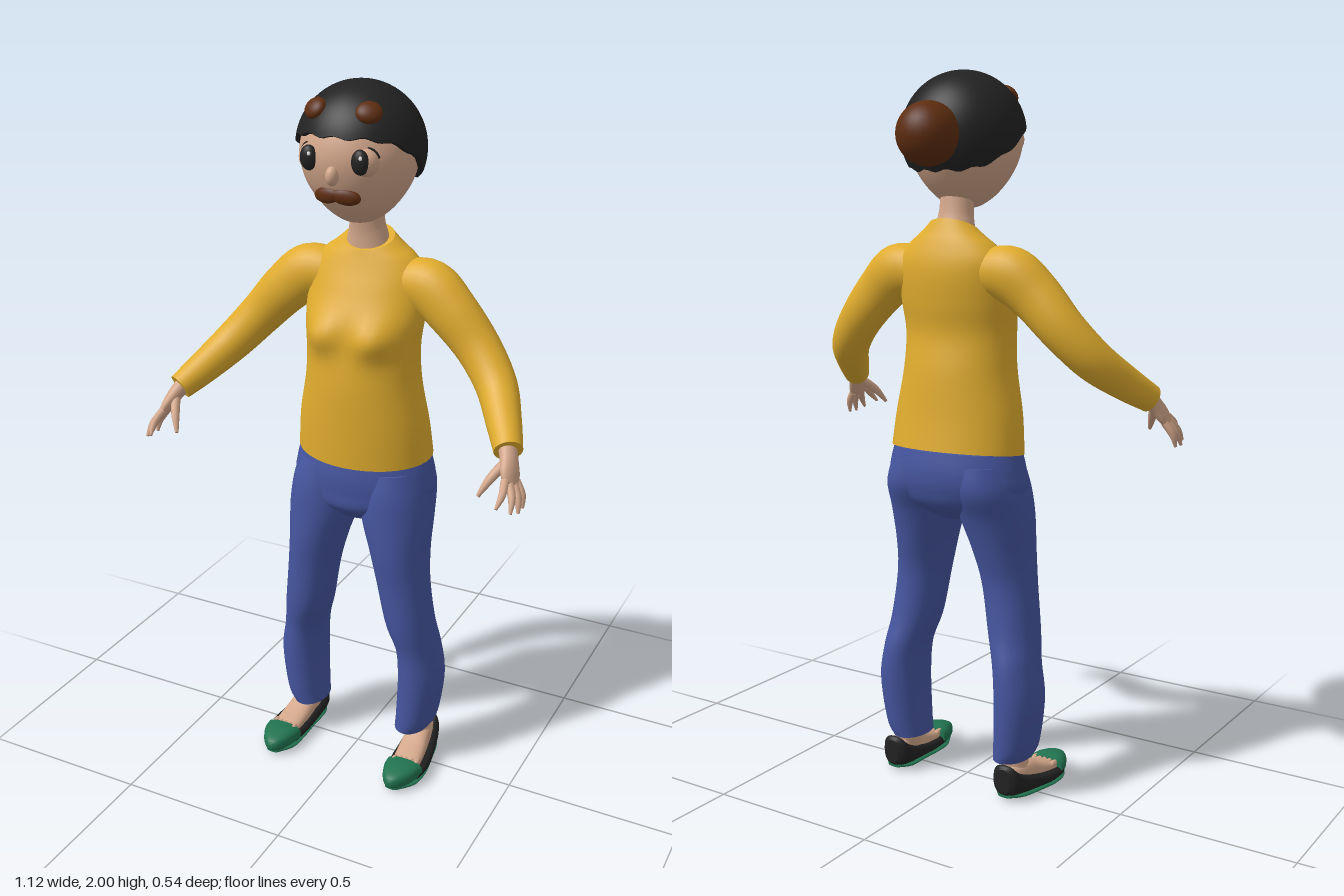
import * as THREE from 'three';

const mat = (name, color) => Object.assign(new THREE.MeshStandardMaterial({ color }), { name });
const V = (x, y, z) => new THREE.Vector3(x, y, z);

// Catmull-Rom interpolation of a short table of cross-sections
function sample(rows, n) {
  const at = i => rows[Math.max(0, Math.min(rows.length - 1, i))];
  return Array.from({ length: n + 1 }, (_, k) => {
    const u = (k / n) * (rows.length - 1), i = Math.min(rows.length - 2, Math.floor(u)), t = u - i;
    return rows[0].map((_, c) => {
      const [a, b, d, e] = [at(i - 1)[c], at(i)[c], at(i + 1)[c], at(i + 2)[c]];
      return b + 0.5 * t * (d - a + t * (2 * a - 5 * b + 4 * d - e + t * (3 * (b - d) + e - a)));
    });
  });
}

// Closed skin over rings of points, with a sharp cap at each end
function skin(rings) {
  const pos = [], idx = [], m = rings[0].length;
  rings.forEach(r => r.forEach(p => pos.push(p.x, p.y, p.z)));
  for (let i = 0; i < rings.length - 1; i++) {
    for (let j = 0; j < m; j++) {
      const k = (j + 1) % m, a = i * m + j, d = i * m + k;
      idx.push(a, a + m, d, a + m, d + m, d);
    }
  }
  [rings[0], rings[rings.length - 1]].forEach((r, end) => {
    const base = pos.length / 3, c = V(0, 0, 0);
    r.forEach(p => { pos.push(p.x, p.y, p.z); c.addScaledVector(p, 1 / m); });
    pos.push(c.x, c.y, c.z);
    for (let j = 0; j < m; j++) {
      const k = (j + 1) % m;
      idx.push(base + m, base + (end ? k : j), base + (end ? j : k));
    }
  });
  const g = new THREE.BufferGeometry();
  g.setAttribute('position', new THREE.Float32BufferAttribute(pos, 3));
  g.setIndex(idx);
  g.computeVertexNormals();
  return g;
}

const circle = (n, f) => Array.from({ length: n }, (_, j) => {
  const a = (j / n) * Math.PI * 2;
  return f(Math.cos(a), Math.sin(a), a);
});

// Upright body form: rows of [y, cx, cz, rx, rz, forward tilt]
const upright = (rows, n = 36, bump = () => 0) => skin(sample(rows, n).map(([y, cx, cz, rx, rz, tilt = 0]) =>
  circle(40, (c, s) => {
    const x = cx + rx * c;
    return V(x, y - tilt * s, cz + rz * s + (s > 0 ? bump(x, y) * Math.min(1, s * 2) : 0));
  })));

// Swept limb: rows of [x, y, z, radius along ref, radius across]
function limb(rows, ref, n = 24, sides = 20) {
  const pts = sample(rows, n), P = pts.map(p => V(p[0], p[1], p[2]));
  return skin(pts.map(([, , , r, r2], i) => {
    const t = P[Math.min(n, i + 1)].clone().sub(P[Math.max(0, i - 1)]).normalize();
    const X = ref.clone().addScaledVector(t, -ref.dot(t)).normalize();
    const Z = X.clone().cross(t);
    return circle(sides, (c, s) => P[i].clone().addScaledVector(X, r * c).addScaledVector(Z, r2 * s));
  }));
}

// Form running forward: rows of [z, cx, bottom, height, half width]
const forward = (rows, n = 20) => skin(sample(rows, n).map(([z, cx, y0, h, w]) =>
  circle(24, (c, s) => V(cx + w * Math.sign(c) * Math.abs(c) ** 0.75,
    y0 + (h / 2) * (1 - Math.sign(s) * Math.abs(s) ** 0.75), z))));

export function createModel() {
  const model = new THREE.Group();
  const yellow = mat('sweater yellow', 0xe0ac2e), blue = mat('trouser blue', 0x4656a0);
  const skinTone = mat('skin', 0xd2a68a), black = mat('black', 0x222222);
  const brown = mat('brown', 0x5e2d10), green = mat('shoe green', 0x217350), white = mat('eye glint', 0xe8e4e0);

  const add = (name, geo, material, parent = model) => {
    const mesh = new THREE.Mesh(geo, material);
    mesh.name = name;
    parent.add(mesh);
    return mesh;
  };
  const ball = (name, material, p, r, parent) => {
    const mesh = add(name, new THREE.SphereGeometry(1, 28, 20), material, parent);
    mesh.position.set(...p);
    mesh.scale.set(...r);
    return mesh;
  };

  // Sweater body, trousers seat and neck
  const bust = (x, y) => 0.034 * Math.exp(-(((Math.abs(x) - 0.08) / 0.055) ** 2) - ((y - 1.335) / 0.05) ** 2);
  add('sweater', upright([
    [0.978, 0, -0.05, 0.2, 0.14, 0.014], [1.08, 0, -0.042, 0.19, 0.134, 0], [1.2, 0, -0.036, 0.168, 0.127, 0],
    [1.3, 0, -0.034, 0.165, 0.113, 0], [1.38, 0, -0.045, 0.172, 0.111, 0], [1.45, 0, -0.063, 0.172, 0.098, 0],
    [1.5, 0, -0.073, 0.165, 0.084, 0], [1.54, 0, -0.074, 0.135, 0.07, 0.005], [1.565, 0, -0.07, 0.1, 0.06, 0.014],
    [1.585, 0, -0.065, 0.073, 0.052, 0.026]], 48, bust), yellow);
  add('trouserSeat', upright([
    [0.785, 0, -0.03, 0.07, 0.06], [0.83, 0, -0.04, 0.17, 0.12], [0.88, 0, -0.048, 0.212, 0.136],
    [0.93, 0, -0.05, 0.208, 0.14], [0.985, 0, -0.05, 0.194, 0.132]]), blue);
  add('neck', upright([
    [1.55, 0, -0.065, 0.066, 0.048], [1.595, 0, -0.062, 0.056, 0.045], [1.63, 0, -0.055, 0.049, 0.042],
    [1.7, 0, -0.045, 0.048, 0.042]], 12), skinTone);

  for (const s of [1, -1]) {
    const side = s > 0 ? 'left' : 'right';
    const flip = rows => rows.map(([x, ...rest]) => [s * x, ...rest]);
    const flipCx = rows => rows.map(([a, cx, ...rest]) => [a, s * cx, ...rest]);
    const across = V(s, 1, 0);

    // Sleeve
    add(side + 'Sleeve', limb(flip([
      [0.1, 1.465, -0.072, 0.065, 0.06], [0.18, 1.463, -0.068, 0.077, 0.066], [0.25, 1.41, -0.058, 0.071, 0.062],
      [0.33, 1.325, -0.05, 0.062, 0.058], [0.4, 1.245, -0.01, 0.056, 0.055], [0.455, 1.18, 0.07, 0.047, 0.046],
      [0.495, 1.135, 0.137, 0.038, 0.038]]), across, 36, 28), yellow);

    // Hand with four fingers and a thumb
    const hand = new THREE.Group();
    hand.name = side + 'Hand';
    model.add(hand);
    const w = V(-0.3, 0.3, 0.9).normalize(), wm = V(s * w.x, w.y, w.z);
    add('palm', limb(flip([
      [0.487, 1.145, 0.125, 0.026, 0.024], [0.503, 1.117, 0.15, 0.028, 0.021],
      [0.515, 1.09, 0.172, 0.034, 0.017], [0.524, 1.066, 0.188, 0.03, 0.012]]), wm, 12), skinTone, hand);
    [[0.515, 1.03, 0.265], [0.545, 1.012, 0.24], [0.555, 1.003, 0.21], [0.554, 1.003, 0.176]].forEach((tip, i) => {
      const k = 0.024 - i * 0.016, b = [0.521 + w.x * k, 1.075 + w.y * k, 0.182 + w.z * k];
      const mid = b.map((v, j) => v * 0.45 + tip[j] * 0.55 + [0.006, 0.004, 0][j]);
      add('finger', limb(flip([[...b, 0.011, 0.011], [...mid, 0.01, 0.01], [...tip, 0.004, 0.004]]),
        across, 8, 10), skinTone, hand);
    });
    add('thumb', limb(flip([[0.5, 1.115, 0.155, 0.014, 0.014], [0.473, 1.078, 0.2, 0.012, 0.012],
      [0.452, 1.037, 0.229, 0.005, 0.005]]), across, 8, 10), skinTone, hand);

    // Trouser leg
    add(side + 'TrouserLeg', upright(flipCx([
      [0.105, 0.172, -0.028, 0.05, 0.073], [0.15, 0.185, -0.03, 0.06, 0.08], [0.28, 0.195, -0.033, 0.066, 0.088],
      [0.38, 0.185, -0.03, 0.062, 0.088], [0.47, 0.165, -0.012, 0.07, 0.086], [0.6, 0.145, -0.004, 0.076, 0.085],
      [0.7, 0.13, -0.01, 0.085, 0.1], [0.8, 0.115, -0.025, 0.102, 0.115], [0.88, 0.108, -0.045, 0.102, 0.13],
      [0.95, 0.1, -0.05, 0.09, 0.12]]), 44), blue);

    // Bare foot with toes, set into a pointed flat shoe
    const foot = new THREE.Group();
    foot.name = side + 'Foot';
    model.add(foot);
    add('ankle', limb(flip([[0.178, 0.16, -0.045, 0.035, 0.04], [0.185, 0.095, -0.04, 0.036, 0.042],
      [0.195, 0.05, -0.03, 0.038, 0.05]]), V(1, 0, 0), 8), skinTone, foot);
    add('instep', forward(flipCx([[-0.08, 0.19, 0.02, 0.075, 0.032], [-0.02, 0.195, 0.02, 0.078, 0.038],
      [0.04, 0.2, 0.02, 0.055, 0.042], [0.095, 0.205, 0.02, 0.037, 0.042]])), skinTone, foot);
    for (let i = 0; i < 5; i++)
      ball('toe', skinTone, [s * (0.172 + i * 0.0165), 0.051, 0.102 - i * 0.003], [0.009, 0.01, 0.02], foot);
    add('shoeUpper', forward(flipCx([[-0.112, 0.19, 0.025, 0.07, 0.02], [-0.1, 0.19, 0.015, 0.09, 0.038],
      [-0.07, 0.192, 0.012, 0.068, 0.047], [0, 0.2, 0.01, 0.047, 0.055], [0.06, 0.205, 0.009, 0.038, 0.059],
      [0.115, 0.206, 0.009, 0.034, 0.054]])), black, foot);
    add('toeCap', forward(flipCx([[0.098, 0.205, 0.008, 0.054, 0.057], [0.13, 0.204, 0.008, 0.057, 0.052],
      [0.165, 0.202, 0.01, 0.05, 0.038], [0.188, 0.2, 0.016, 0.036, 0.021], [0.197, 0.2, 0.026, 0.014, 0.006]])),
      green, foot);
    add('sole', forward(flipCx([[-0.105, 0.19, 0.01, 0.012, 0.02], [-0.07, 0.192, 0.007, 0.012, 0.044],
      [0, 0.2, 0.003, 0.012, 0.05], [0.07, 0.205, 0, 0.012, 0.055], [0.13, 0.204, 0, 0.012, 0.049],
      [0.185, 0.2, 0.008, 0.012, 0.018]])), green, foot);

    // Eye with lash, and round ornament on the hair
    ball(side + 'Eyeball', skinTone, [s * 0.074, 1.82, 0.103], [0.037, 0.038, 0.038]);
    ball(side + 'Pupil', black, [s * 0.072, 1.823, 0.131], [0.024, 0.032, 0.017]);
    ball(side + 'Glint', white, [s * 0.072 + 0.007, 1.835, 0.144], [0.005, 0.006, 0.004]);
    const lash = add(side + 'Lash', new THREE.TorusGeometry(0.038, 0.004, 8, 16, 1.6), black);
    lash.position.set(s * 0.074, 1.82, 0.113);
    lash.rotation.set(0, s * 0.35, s > 0 ? 0.3 : Math.PI - 1.9);
    const ornament = ball(side + 'HairOrnament', brown, [s * 0.075, 1.938, 0.088], [0.034, 0.03, 0.018]);
    ornament.rotation.set(-0.7, s * 0.5, 0, 'YXZ');
  }

  // Head and face
  add('head', upright([[1.637, 0.02], [1.645, 0.046], [1.67, 0.082], [1.71, 0.117], [1.76, 0.144],
    [1.82, 0.156], [1.88, 0.143], [1.93, 0.113], [1.97, 0.06]].map(([y, r]) => [y, 0, -0.011, r, r])), skinTone);
  ball('nose', skinTone, [0, 1.785, 0.143], [0.017, 0.025, 0.02]);
  for (const s of [1, -1]) {
    const half = ball('moustache', brown, [s * 0.027, 1.73, 0.12], [0.039, 0.021, 0.013]);
    half.rotation.set(0, s * 0.18, s * -0.1, 'YXZ');
  }

  // Hair cap with a wavy, backward-sloping edge, and a bun
  const hairRings = Array.from({ length: 25 }, (_, i) => circle(72, (c, s, a) => {
    const edge = 1.808 + 0.073 * Math.sin(s * 1.571) + 0.004 * Math.sin(13 * a);
    const polar = Math.acos((edge - 1.83) / 0.17) * (1 - i / 24) + 0.01;
    return V(0.172 * Math.sin(polar) * c, 1.83 + 0.17 * Math.cos(polar), -0.02 + 0.166 * Math.sin(polar) * s);
  }));
  add('hair', skin(hairRings), black);
  ball('hairBun', brown, [0, 1.828, -0.188], [0.085, 0.084, 0.085]);
  return model;
}
